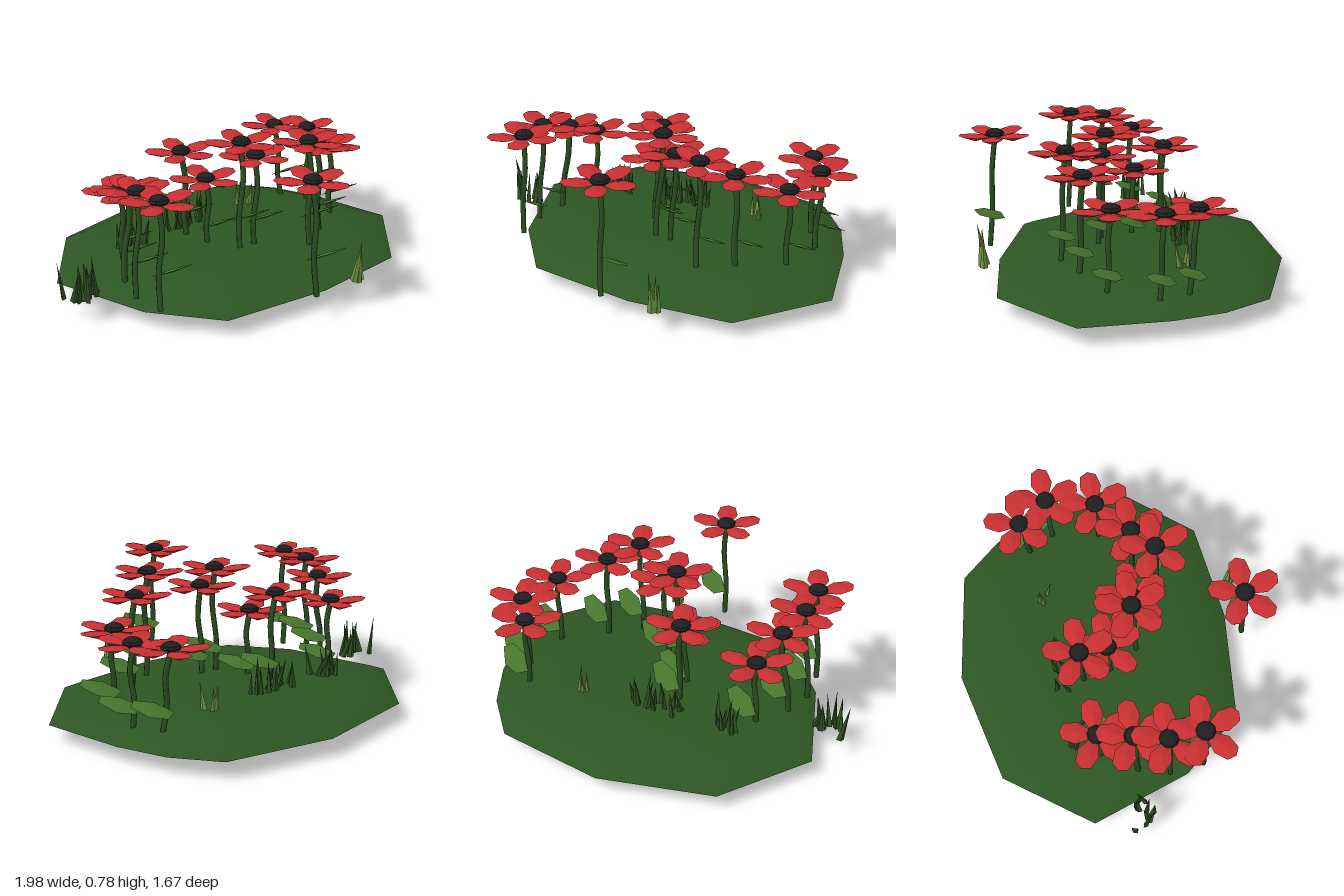
import * as THREE from 'three';

const mat = (name, color, flat = true, side = THREE.FrontSide) => {
  const m = new THREE.MeshStandardMaterial({ color, flatShading: flat, side });
  m.name = name;
  return m;
};

// Faceted lens: a flat (x, z) outline with a raised point above and below
function lens(outline, cx, cz, up, down) {
  const pos = [];
  outline.forEach((a, i) => {
    const b = outline[(i + 1) % outline.length];
    pos.push(cx, up, cz, b[0], 0, b[1], a[0], 0, a[1]);
    pos.push(cx, -down, cz, a[0], 0, a[1], b[0], 0, b[1]);
  });
  const g = new THREE.BufferGeometry();
  g.setAttribute('position', new THREE.Float32BufferAttribute(pos, 3));
  g.computeVertexNormals();
  return g;
}

// Mound: the irregular rim is scaled into rings for the top and the underside
function moundGeometry() {
  const rim = [[0.06, -0.84], [0.63, -0.72], [0.8, -0.5], [0.9, -0.25], [0.99, 0.19], [0.63, 0.59],
    [0.1, 0.63], [-0.47, 0.55], [-0.72, 0.22], [-0.87, -0.31], [-0.53, -0.73]];
  const cx = 0.04, cz = -0.08, n = rim.length;
  const build = (rings) => {
    const pos = [], index = [];
    for (const [s, y] of rings)
      for (const [x, z] of rim) pos.push(cx + (x - cx) * s, y, cz + (z - cz) * s);
    for (let r = 0; r < rings.length - 1; r++)
      for (let i = 0; i < n; i++) {
        const a = r * n + i, b = r * n + (i + 1) % n;
        index.push(a, a + n, b, b, a + n, b + n);
      }
    const g = new THREE.BufferGeometry();
    g.setAttribute('position', new THREE.Float32BufferAttribute(pos, 3));
    g.setIndex(index);
    g.computeVertexNormals();
    return g;
  };
  return {
    top: build([[1, 0.095], [0.88, 0.137], [0.62, 0.168], [0.3, 0.18], [0.001, 0.182]]),
    bottom: build([[0.001, 0], [0.35, 0.004], [0.68, 0.018], [0.88, 0.052], [1, 0.095]]),
  };
}

export function createModel() {
  const model = new THREE.Group();
  model.name = 'flowerPatch';

  const ground = mat('ground green', 0x2d5522, false);
  const stemGreen = mat('stem green', 0x2b4f22, false);
  const leafGreen = mat('leaf green', 0x47752d, true, THREE.DoubleSide);
  const darkGrass = mat('dark grass', 0x2f5023);
  const lightGrass = mat('light grass', 0x6f9440);
  const red = mat('petal red', 0xc83032);
  const black = mat('flower centre black', 0x1e1f21);

  const add = (parent, geometry, material, name) => {
    const m = new THREE.Mesh(geometry, material);
    m.name = name;
    parent.add(m);
    return m;
  };

  const mound = moundGeometry();
  add(model, mound.top, ground, 'moundTop');
  add(model, mound.bottom, ground, 'moundUnderside');

  // Shared flower parts
  const petalShape = lens([[0.02, -0.018], [0.1, -0.056], [0.17, -0.042], [0.19, 0],
    [0.17, 0.042], [0.1, 0.056], [0.02, 0.018]], 0.1, 0, 0.014, 0.026);
  const leafShape = lens([[-0.02, -0.05], [0.04, -0.08], [0.12, -0.04], [0.17, 0.05],
    [0.13, 0.085], [0.04, 0.04]], 0.07, 0, 0.008, 0.008);
  const centreShape = new THREE.SphereGeometry(0.05, 10, 6).scale(1, 0.55, 1);

  function flower(x, y, z, baseX, baseZ) {
    const g = new THREE.Group();
    g.name = 'flower';
    const baseY = 0.13, len = y - baseY;
    const at = (t, bend) => new THREE.Vector3(
      THREE.MathUtils.lerp(baseX, x, t) + bend, baseY + len * t, THREE.MathUtils.lerp(baseZ, z, t) + bend * 0.5);
    const path = new THREE.CatmullRomCurve3([at(0, 0), at(0.35, -0.006), at(0.7, 0.012), at(0.98, 0)]);
    add(g, new THREE.TubeGeometry(path, 10, 0.015, 6), stemGreen, 'stem');

    // Broad tilted leaf a third of the way up
    const leaf = add(g, leafShape, leafGreen, 'leaf');
    leaf.position.copy(at(0.34, 0));
    leaf.rotation.x = -0.47;

    // Five cupped petals around a dark centre
    const head = new THREE.Group();
    head.name = 'flowerHead';
    head.position.set(x, y, z);
    for (let i = 0; i < 5; i++) {
      const petal = add(head, petalShape, red, 'petal');
      petal.rotation.set(0, i * Math.PI * 2 / 5, 0.1, 'YXZ');
    }
    add(head, centreShape, black, 'flowerCentre').position.y = 0.016;
    g.add(head);
    model.add(g);
  }

  // Head x, y, z, then stem foot x, z
  [
    [-0.53, 0.525, -0.22, -0.53, -0.2], [-0.6, 0.61, -0.05, -0.65, -0.03],
    [-0.665, 0.665, 0.11, -0.7, 0.13], [-0.67, 0.675, 0.29, -0.69, 0.31],
    [-0.13, 0.635, -0.22, -0.11, -0.2], [-0.09, 0.52, -0.07, -0.09, -0.05],
    [0.02, 0.735, 0.08, -0.01, 0.11], [0.1, 0.65, 0.1, 0.08, 0.12],
    [0.31, 0.725, 0.27, 0.31, 0.3], [0.46, 0.645, 0.18, 0.48, 0.2],
    [0.69, 0.55, 0.04, 0.7, 0.06], [0.765, 0.555, -0.21, 0.76, -0.19],
    [0.665, 0.55, -0.37, 0.69, -0.33], [-0.03, 0.72, 0.65, -0.02, 0.69],
  ].forEach((f) => flower(...f));

  // Grass tufts of leaning flat blades
  let seed = 7;
  const rand = () => (seed = (seed * 16807) % 2147483647) / 2147483647;
  const bladeShape = new THREE.ConeGeometry(0.021, 1, 4).translate(0, 0.5, 0);

  function tuft(name, material, x, y, z, rx, rz, count, minH, maxH, lean) {
    const g = new THREE.Group();
    g.name = name;
    g.position.set(x, y, z);
    for (let i = 0; i < count; i++) {
      const u = count > 1 ? i / (count - 1) * 2 - 1 : 0;
      const blade = add(g, bladeShape, material, 'grassBlade');
      blade.position.set(u * rx, 0, (rand() * 2 - 1) * rz);
      blade.scale.set(1, minH + (maxH - minH) * rand(), 0.65);
      blade.rotation.set((rand() - 0.5) * lean, rand() * 3, -u * lean * 0.3 + (rand() - 0.5) * lean);
    }
    model.add(g);
  }

  tuft('darkTuftSide', darkGrass, -0.88, 0.115, -0.06, 0.075, 0.06, 10, 0.13, 0.22, 0.4);
  tuft('darkTuftRear', darkGrass, -0.41, 0.15, -0.31, 0.06, 0.05, 10, 0.12, 0.19, 0.5);
  tuft('darkTuftMiddle', darkGrass, -0.03, 0.16, -0.31, 0.13, 0.04, 13, 0.12, 0.19, 0.5);
  tuft('lightTuftFront', lightGrass, 0.27, 0.12, 0.69, 0.022, 0.02, 4, 0.15, 0.23, 0.15);
  tuft('lightTuftRear', lightGrass, 0.38, 0.14, -0.32, 0.025, 0.03, 4, 0.11, 0.18, 0.35);

  return model;
}
